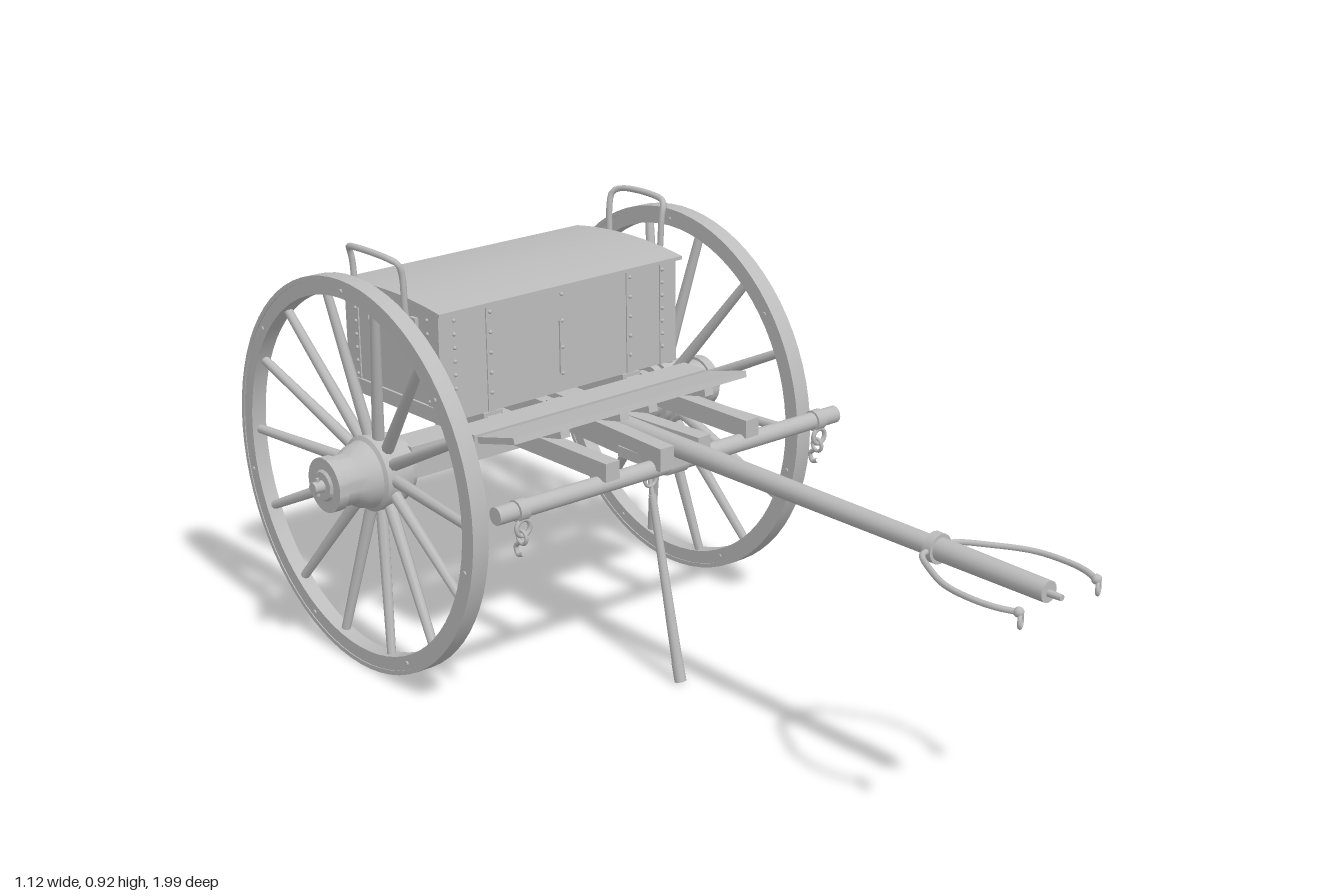
import * as THREE from 'three';
import { toCreasedNormals } from 'three/addons/utils/BufferGeometryUtils.js';

const V = (x, y, z) => new THREE.Vector3(x, y, z);

export function createModel() {
  const root = new THREE.Group();
  const grey = new THREE.MeshStandardMaterial({ color: 0xbcbcbc });
  grey.name = 'plain grey';

  const add = (name, geo, parent = root) => {
    const m = new THREE.Mesh(geo, grey);
    m.name = name;
    parent.add(m);
    return m;
  };
  // box given by its extents
  const box = (name, x0, x1, y0, y1, z0, z1, parent) => {
    const m = add(name, new THREE.BoxGeometry(x1 - x0, y1 - y0, z1 - z0), parent);
    m.position.set((x0 + x1) / 2, (y0 + y1) / 2, (z0 + z1) / 2);
    return m;
  };
  // round bar between two points
  const rod = (name, a, b, r0, r1 = r0, parent = root, sides = 12) => {
    const m = add(name, new THREE.CylinderGeometry(r1, r0, a.distanceTo(b), sides), parent);
    m.position.copy(a).lerp(b, 0.5);
    m.quaternion.setFromUnitVectors(V(0, 1, 0), b.clone().sub(a).normalize());
    return m;
  };
  const tube = (name, pts, r, parent) =>
    add(name, new THREE.TubeGeometry(new THREE.CatmullRomCurve3(pts, false, 'centripetal'), 40, r, 8), parent);
  const ring = (name, x, y, z, R, r, turn = 0) => {
    const m = add(name, new THREE.TorusGeometry(R, r, 8, 20), root);
    m.position.set(x, y, z);
    m.rotation.y = turn;
    return m;
  };
  // turned part on the x axis, profile as [radius, x]
  const lathe = (name, pts, parent, seg = 40) => {
    const g = new THREE.LatheGeometry(pts.map(p => new THREE.Vector2(p[0], p[1])), seg);
    g.rotateZ(-Math.PI / 2);
    return add(name, toCreasedNormals(g, 0.5), parent);
  };

  // wheels with dished spokes and stepped hubs
  for (const s of [1, -1]) {
    const wheel = new THREE.Group();
    wheel.name = s > 0 ? 'leftWheel' : 'rightWheel';
    wheel.position.set(0, 0.434, -0.56);
    wheel.rotation.y = (s > 0 ? 0 : Math.PI) - 0.017;
    root.add(wheel);
    lathe('rim', [[0.394, 0.428], [0.425, 0.428], [0.425, 0.463], [0.394, 0.463], [0.394, 0.428]], wheel, 72);
    lathe('tyre', [[0.424, 0.426], [0.434, 0.426], [0.434, 0.465], [0.424, 0.465], [0.424, 0.426]], wheel, 72);
    lathe('hub', [[0, 0.335], [0.06, 0.335], [0.06, 0.355], [0.075, 0.355], [0.075, 0.376], [0.083, 0.376],
      [0.083, 0.425], [0.074, 0.43], [0.068, 0.455], [0.056, 0.475], [0.054, 0.508], [0.06, 0.508],
      [0.06, 0.531], [0.035, 0.531], [0.03, 0.536], [0, 0.536]], wheel);
    rod('axleEnd', V(0.53, 0, 0), V(0.56, 0, 0), 0.013, 0.013, wheel);
    rod('linchPin', V(0.547, -0.02, 0), V(0.547, 0.02, 0), 0.004, 0.004, wheel, 6);
    for (let i = 0; i < 14; i++) {
      const a = i * Math.PI * 2 / 14, c = Math.cos(a), d = Math.sin(a);
      rod('spoke', V(0.4, 0.06 * d, 0.06 * c), V(0.443, 0.4 * d, 0.4 * c), 0.014, 0.01, wheel, 8);
      const b = a + Math.PI / 14;
      if (i % 2) rod('rimBolt', V(0.425, 0.41 * Math.sin(b), 0.41 * Math.cos(b)),
        V(0.467, 0.41 * Math.sin(b), 0.41 * Math.cos(b)), 0.005, 0.005, wheel, 6);
    }
  }

  // axle beam and the rails it carries
  box('axleBeam', -0.34, 0.34, 0.412, 0.485, -0.6, -0.52);
  for (const x of [-0.194, 0.194]) {
    box('sideRail', x - 0.018, x + 0.018, 0.51, 0.55, -0.8, -0.03);
    box('railBolster', x - 0.025, x + 0.025, 0.512, 0.558, -0.62, -0.42);
    box('axleClamp', x - 0.018, x + 0.018, 0.404, 0.515, -0.607, -0.513);
    box('bodyCleat', x - 0.022, x + 0.022, 0.545, 0.575, -0.772, -0.74);
  }
  for (const s of [-1, 1]) {
    const f = box('centreRail', -0.018, 0.018, 0.5, 0.55, -0.2, 0.2);
    f.position.set(s * 0.04 - 0.004, 0.525, -0.22);
    f.rotation.y = s * 0.06;
    box('rearCentreRail', s * 0.028 - 0.016, s * 0.028 + 0.016, 0.49, 0.54, -0.62, -0.4);
  }
  box('poleSocket', -0.07, 0.06, 0.497, 0.52, -0.16, -0.03);

  // tray slung under the chest
  box('trayFloor', -0.11, 0.11, 0.497, 0.503, -0.73, -0.6);
  for (const s of [-1, 1]) box('traySide', s * 0.11 - 0.004, s * 0.11 + 0.004, 0.497, 0.562, -0.73, -0.6);
  box('trayBack', -0.11, 0.11, 0.497, 0.562, -0.734, -0.727);

  // chest with its arched lid
  box('chest', -0.325, 0.325, 0.558, 0.797, -0.755, -0.425);
  const arch = new THREE.Shape();
  arch.moveTo(-0.182, 0.795).lineTo(0.182, 0.795).lineTo(0.182, 0.803);
  arch.quadraticCurveTo(0, 0.831, -0.182, 0.803);
  arch.closePath();
  const lid = new THREE.ExtrudeGeometry(arch, { depth: 0.67, bevelEnabled: false, curveSegments: 16 });
  lid.translate(0, 0, -0.335).rotateY(Math.PI / 2).translate(0, 0, -0.59);
  add('lid', toCreasedNormals(lid, 0.4));

  // corner irons, straps and rivets
  const rivet = new THREE.SphereGeometry(0.0045, 8, 6);
  const rivets = (x, z, n = 7) => {
    for (let i = 0; i < n; i++)
      add('rivet', rivet).position.set(x, 0.6 + i * 0.178 / (n - 1), z);
  };
  for (const s of [-1, 1]) {
    for (const [z, out] of [[-0.425, 1], [-0.755, -1]]) {
      const x0 = s * 0.305;
      box('cornerIron', x0 - 0.023, x0 + 0.023, 0.558, 0.795, z - 0.003, z + 0.003);
      rivets(s * 0.288, z + out * 0.003);
      box('frontStrap', s * 0.194 - 0.01, s * 0.194 + 0.01, 0.558, 0.795, z - 0.003, z + 0.003);
      rivets(s * 0.194, z + out * 0.003, 5);
      box('endIron', s * 0.325 - 0.003, s * 0.325 + 0.003, 0.558, 0.795, z - out * 0.02 - 0.023, z - out * 0.02 + 0.023);
      rivets(s * 0.328, z - out * 0.035);
    }
    box('endSill', s * 0.327 - 0.004, s * 0.327 + 0.004, 0.558, 0.59, -0.757, -0.423);
  }
  box('centreStrap', -0.007, 0.007, 0.6, 0.72, -0.427, -0.421);
  rivets(0, -0.422, 4);
  box('hasp', -0.015, 0.015, 0.71, 0.8, -0.774, -0.755);
  box('latchPlate', -0.03, 0.03, 0.69, 0.73, -0.762, -0.754);

  // grab handles on the chest ends
  for (const s of [-1, 1]) {
    const half = d => [V(s * 0.325, 0.76, -0.59 + d * 0.085), V(s * 0.345, 0.768, -0.59 + d * 0.087),
      V(s * 0.352, 0.79, -0.59 + d * 0.088), V(s * 0.357, 0.87, -0.59 + d * 0.09),
      V(s * 0.364, 0.895, -0.59 + d * 0.088), V(s * 0.374, 0.905, -0.59 + d * 0.07)];
    tube('grabHandle', [...half(1), ...half(-1).reverse()], 0.007);
    for (const d of [-1, 1])
      box('handleFoot', s * 0.328 - 0.006, s * 0.328 + 0.006, 0.735, 0.775, -0.6 + d * 0.085, -0.58 + d * 0.085);
  }

  // footboards, the front one tipped up
  box('rearFootboard', -0.33, 0.315, 0.552, 0.566, -0.378, -0.308);
  const foot = box('frontFootboard', -0.33, 0.315, -0.007, 0.007, -0.062, 0.062);
  foot.position.set(-0.007, 0.573, -0.237);
  foot.rotation.x = -0.24;
  for (const x of [-0.2, -0.04, 0.04, 0.2]) {
    const b = box('footboardBracket', -0.012, 0.012, -0.008, 0.008, -0.1, 0.1);
    b.position.set(x, 0.554, -0.27);
    b.rotation.x = -0.2;
  }

  // pole, tip and collar
  rod('pole', V(-0.007, 0.537, -0.36), V(-0.022, 0.537, 0.68), 0.024, 0.02, root, 16);
  rod('poleFront', V(-0.022, 0.537, 0.68), V(-0.026, 0.536, 0.96), 0.023, 0.021, root, 16);
  rod('poleTip', V(-0.026, 0.534, 0.96), V(-0.026, 0.534, 0.99), 0.007, 0.006);
  rod('poleCollar', V(-0.022, 0.537, 0.68), V(-0.022, 0.537, 0.7), 0.03, 0.03, root, 16);

  // curved yoke arms with end loops
  for (const s of [-1, 1]) {
    const x = d => -0.022 + s * d;
    tube('yokeArm', [V(x(0.02), 0.537, 0.69), V(x(0.045), 0.537, 0.695), V(x(0.085), 0.537, 0.75),
      V(x(0.12), 0.537, 0.82), V(x(0.128), 0.536, 0.89), V(x(0.122), 0.535, 0.94), V(x(0.108), 0.534, 0.975)], 0.006);
    const knob = add('yokeKnob', new THREE.SphereGeometry(0.01, 10, 8));
    knob.position.set(x(0.107), 0.534, 0.978);
    ring('yokeLoop', x(0.107), 0.518, 0.983, 0.011, 0.004, 0.5);
  }

  // draw bar with hooks and rings
  rod('drawBar', V(-0.47, 0.497, -0.062), V(0.455, 0.497, -0.042), 0.019, 0.019, root, 16);
  for (const x of [-0.412, 0.398]) {
    const z = -0.05 + x * 0.02;
    const band = rod('barBand', V(x - 0.012, 0.497, z), V(x + 0.012, 0.497, z), 0.023, 0.023);
    band.name = 'barBand';
    ring('traceRing', x, 0.462, z + 0.01, 0.017, 0.005);
    ring('traceLink', x, 0.44, z + 0.005, 0.014, 0.004, Math.PI / 2);
    tube('traceHook', [V(x, 0.43, z), V(x, 0.415, z - 0.015), V(x, 0.4, z - 0.008), V(x, 0.405, z + 0.008)], 0.005);
  }
  rod('centreBand', V(-0.035, 0.497, -0.052), V(0.015, 0.497, -0.051), 0.022);

  // hinged prop leg
  ring('propRing', -0.01, 0.44, -0.125, 0.016, 0.004);
  ring('propLink', -0.01, 0.468, -0.125, 0.016, 0.004, Math.PI / 2);
  rod('propEye', V(-0.008, 0.44, -0.13), V(-0.008, 0.39, -0.118), 0.005);
  rod('propLeg', V(-0.008, 0.405, -0.122), V(-0.011, 0.04, -0.04), 0.008, 0.012);
  rod('propFoot', V(-0.011, 0.045, -0.041), V(-0.011, 0.003, -0.031), 0.013);

  return root;
}
